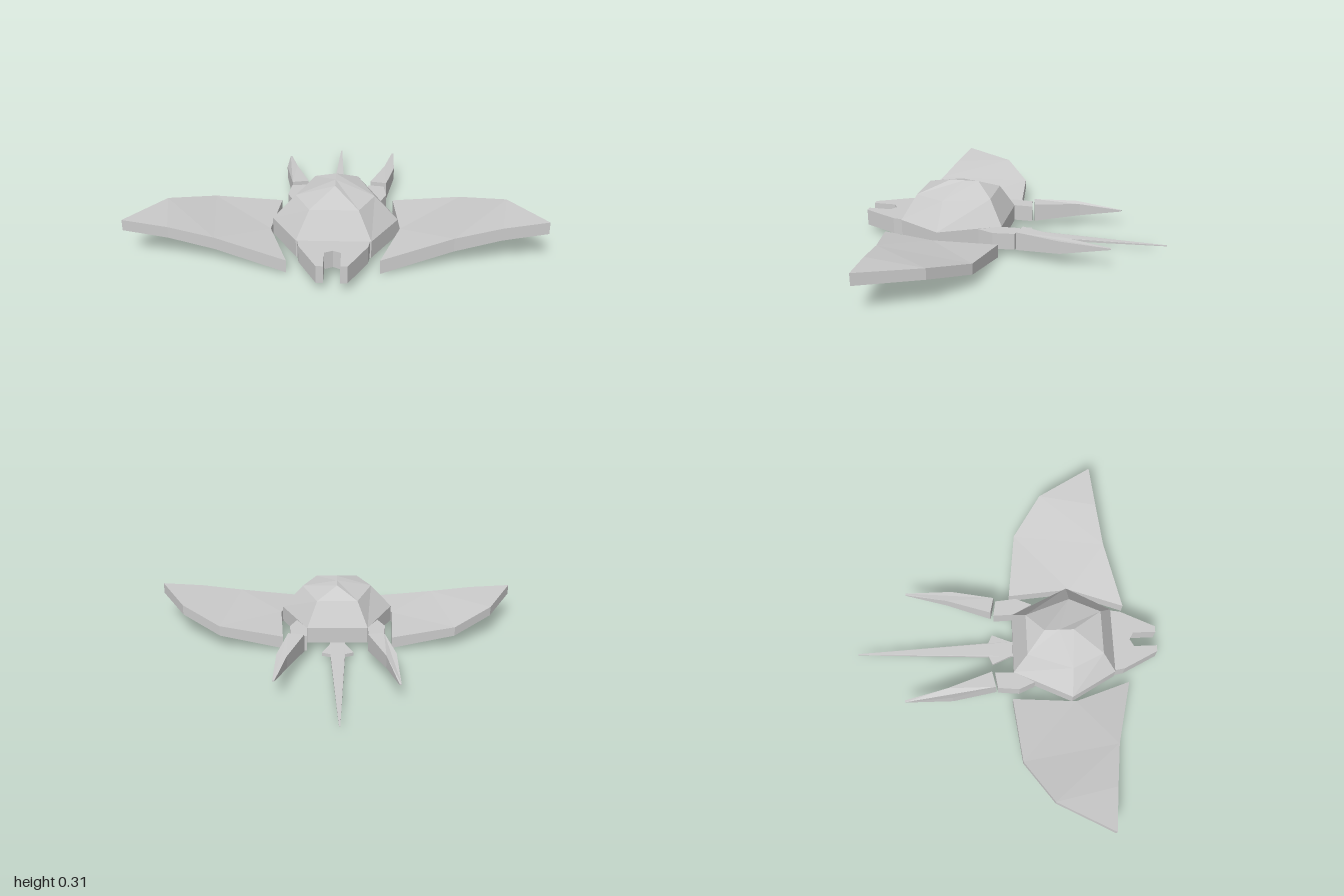
import * as THREE from 'three';

const material = new THREE.MeshStandardMaterial({ color: 0xcccccc, flatShading: true, side: THREE.DoubleSide });

function meshFrom(name, positions) {
  const geometry = new THREE.BufferGeometry();
  geometry.setAttribute('position', new THREE.Float32BufferAttribute(positions, 3));
  geometry.computeVertexNormals();
  const mesh = new THREE.Mesh(geometry, material);
  mesh.name = name;
  return mesh;
}

// Slab over an outline of [x, z, top, bottom] corners, each with its own heights
function plate(name, outline, triangles) {
  const flat = outline.map(([x, z]) => new THREE.Vector2(x, z));
  const pts = THREE.ShapeUtils.isClockWise(flat) ? outline : outline.slice().reverse();
  const n = pts.length;
  const tris = triangles
    ? triangles.map((t) => (pts === outline ? t : t.map((i) => n - 1 - i)))
    : THREE.ShapeUtils.triangulateShape(pts.map(([x, z]) => new THREE.Vector2(x, z)), []);
  const top = (i) => [pts[i][0], pts[i][2], pts[i][1]];
  const low = (i) => [pts[i][0], pts[i][3], pts[i][1]];
  const out = [];
  for (const [a, b, c] of tris) {
    const [p, q, r] = [pts[a], pts[b], pts[c]];
    const area = (q[0] - p[0]) * (r[1] - p[1]) - (q[1] - p[1]) * (r[0] - p[0]);
    const [i, j, k] = area < 0 ? [a, b, c] : [a, c, b];
    out.push(...top(i), ...top(j), ...top(k), ...low(i), ...low(k), ...low(j));
  }
  for (let i = 0; i < n; i++) {
    const j = (i + 1) % n;
    out.push(...top(i), ...low(i), ...low(j), ...top(i), ...low(j), ...top(j));
  }
  return meshFrom(name, out);
}

const level = (pts, top, bottom) => pts.map(([x, z]) => [x, z, top, bottom]);

// Six-sided ring: back pair, side pair, front pair
const ring = (y, bx, bz, sx, sz, fx, fz) => [
  [bx, y, bz], [-bx, y, bz], [-sx, y, sz], [-fx, y, fz], [fx, y, fz], [sx, y, sz],
];

// Domed shell lofted through rings, closing to a short ridge
function shell() {
  const rings = [
    ring(0.04, 0.16, 0.03, 0.305, 0.33, 0.175, 0.56),
    ring(0.125, 0.16, 0.03, 0.305, 0.33, 0.175, 0.56),
    ring(0.25, 0.108, 0.10, 0.19, 0.33, 0.115, 0.49),
    ring(0.305, 0, 0.19, 0, 0.265, 0, 0.34),
  ];
  const out = [];
  for (let k = 0; k < rings.length - 1; k++) {
    for (let i = 0; i < 6; i++) {
      const j = (i + 1) % 6;
      const [a, b, c, d] = [rings[k][i], rings[k][j], rings[k + 1][j], rings[k + 1][i]];
      out.push(...a, ...b, ...c, ...a, ...c, ...d);
    }
  }
  const base = rings[0];
  for (let i = 1; i < 5; i++) out.push(...base[0], ...base[i + 1], ...base[i]);
  return meshFrom('shell', out);
}

export function createModel() {
  const model = new THREE.Group();
  model.name = 'rayCreature';
  model.add(shell());

  // Flat head with a notch between two horns
  const half = [[0.17, 0.55], [0.16, 0.61], [0.07, 0.79], [0.038, 0.79], [0.038, 0.67]];
  const mirrored = half.map(([x, z]) => [-x, z]).reverse();
  model.add(plate('head', level([...half, [0, 0.65], ...mirrored], 0.125, 0.04)));

  // Tail with two barbs at its root
  model.add(plate('tail', [
    [0.04, 0.08, 0.036, 0.015], [0.04, 0.02, 0.036, 0.015], [0.083, -0.08, 0.034, 0.016],
    [0.038, -0.1, 0.034, 0.016], [0.003, -0.8, 0.027, 0.023], [-0.003, -0.8, 0.027, 0.023],
    [-0.038, -0.1, 0.034, 0.016], [-0.083, -0.08, 0.034, 0.016], [-0.04, 0.02, 0.036, 0.015],
    [-0.04, 0.08, 0.036, 0.015],
  ]));

  const wing = [
    [0.29, 0.02, 0.08, 0.012], [0.63, 0.06, 0.125, 0.07], [0.845, 0.21, 0.185, 0.13],
    [1, 0.495, 0.205, 0.145], [0.78, 0.52, 0.182, 0.12], [0.557, 0.55, 0.142, 0.075],
    [0.215, 0.638, 0.07, 0], [0.315, 0.35, 0.085, 0.02],
  ];
  const wingFaces = [[0, 1, 7], [1, 5, 7], [5, 6, 7], [1, 2, 5], [2, 4, 5], [2, 3, 4]];
  const hip = [[0.16, -0.068], [0.243, -0.055], [0.254, 0.055], [0.218, 0.138], [0.163, 0.04]];

  for (const [side, label, lift, tipY, out] of [[1, 'left', 1, 0.113, 0.01], [-1, 'right', 0.9, 0.09, -0.006]]) {
    // Upswept wing, a little lower on the right
    model.add(plate(label + 'Wing',
      wing.map(([x, z, t, b]) => [side * x, z, t * lift, b * lift]), wingFaces));
    // Rear hip block
    model.add(plate(label + 'Hip', level(hip.map(([x, z]) => [side * x, z]), 0.125, 0.04)));
    // Trailing spike tapering to a point
    model.add(plate(label + 'Spike', [
      [0.163, -0.083, 0.14, 0.045], [0.247, -0.065, 0.14, 0.045], [0.295, -0.29, 0.13, 0.065],
      [0.3, -0.54, tipY + 0.003, tipY - 0.003], [0.29, -0.54, tipY + 0.003, tipY - 0.003],
      [0.243, -0.317, 0.13, 0.065],
    ].map(([x, z, t, b]) => [side * (x + out), z, t, b])));
  }
  return model;
}
